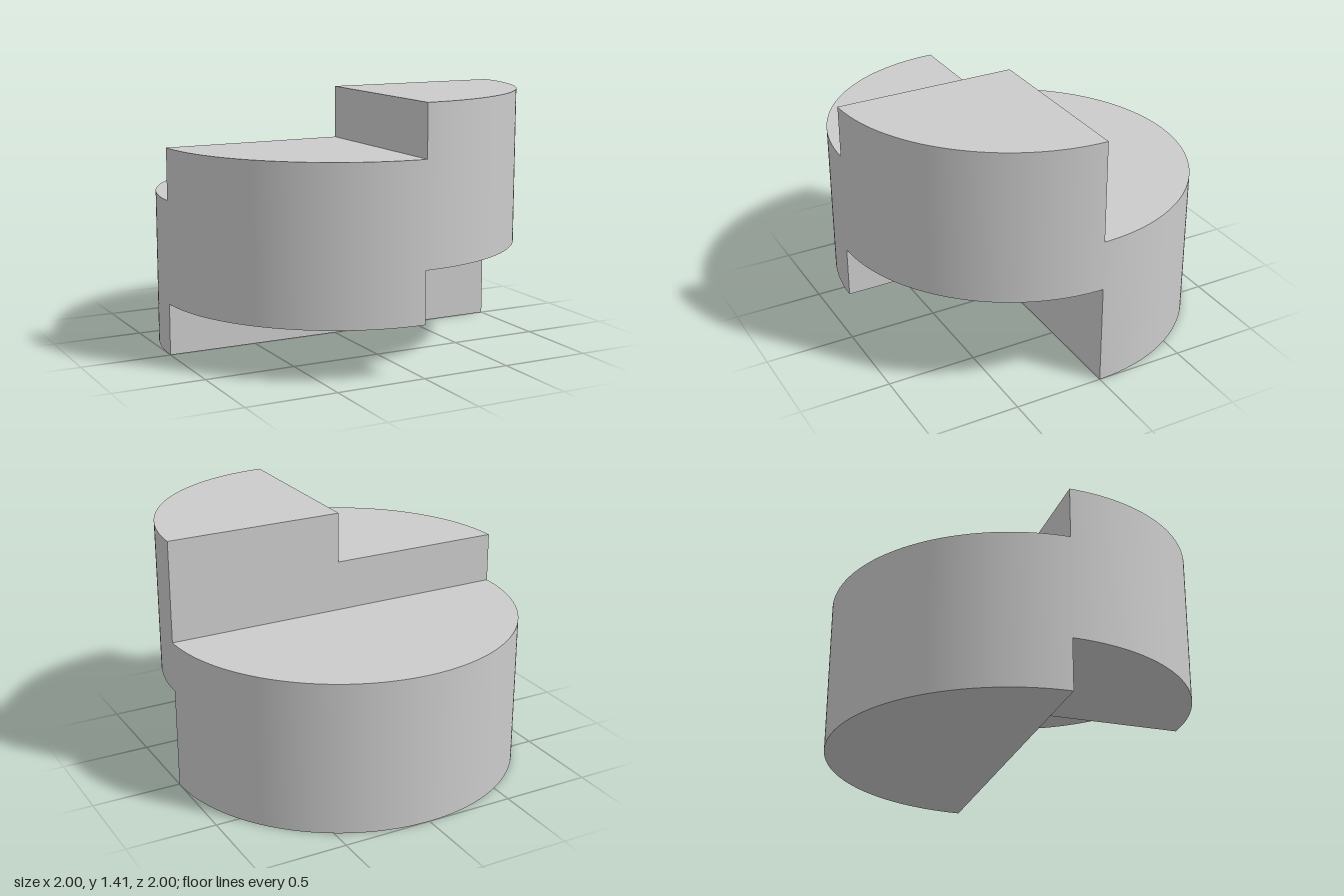
import * as THREE from 'three';
import { toCreasedNormals } from 'three/addons/utils/BufferGeometryUtils.js';

const STEP = 0.2826; // height of one step
const HEIGHT = 3 * STEP; // every sector is three steps tall

// Closed pie-shaped sector of the unit disc; angles run from +x towards -z
function makeSector(name, start, end, bottom) {
  const shape = new THREE.Shape();
  shape.moveTo(0, 0);
  shape.lineTo(Math.cos(start), Math.sin(start));
  shape.absarc(0, 0, 1, start, end, false);
  shape.lineTo(0, 0);

  const solid = new THREE.ExtrudeGeometry(shape, { depth: HEIGHT, bevelEnabled: false, curveSegments: 64 });
  solid.rotateX(-Math.PI / 2);
  solid.translate(0, bottom, 0);

  const material = new THREE.MeshStandardMaterial({ color: 0xcccccc });
  const mesh = new THREE.Mesh(toCreasedNormals(solid, 0.5), material);
  mesh.name = name;
  return mesh;
}

export function createModel() {
  const group = new THREE.Group();
  group.name = 'steppedCylinder';
  const q = Math.PI / 2;
  group.add(
    makeSector('backHalf', 0, 2 * q, 0), // lowest
    makeSector('frontRightQuarter', 2 * q, 3 * q, STEP), // raised one step
    makeSector('frontLeftQuarter', 3 * q, 4 * q, 2 * STEP) // raised two steps
  );
  return group;
}
